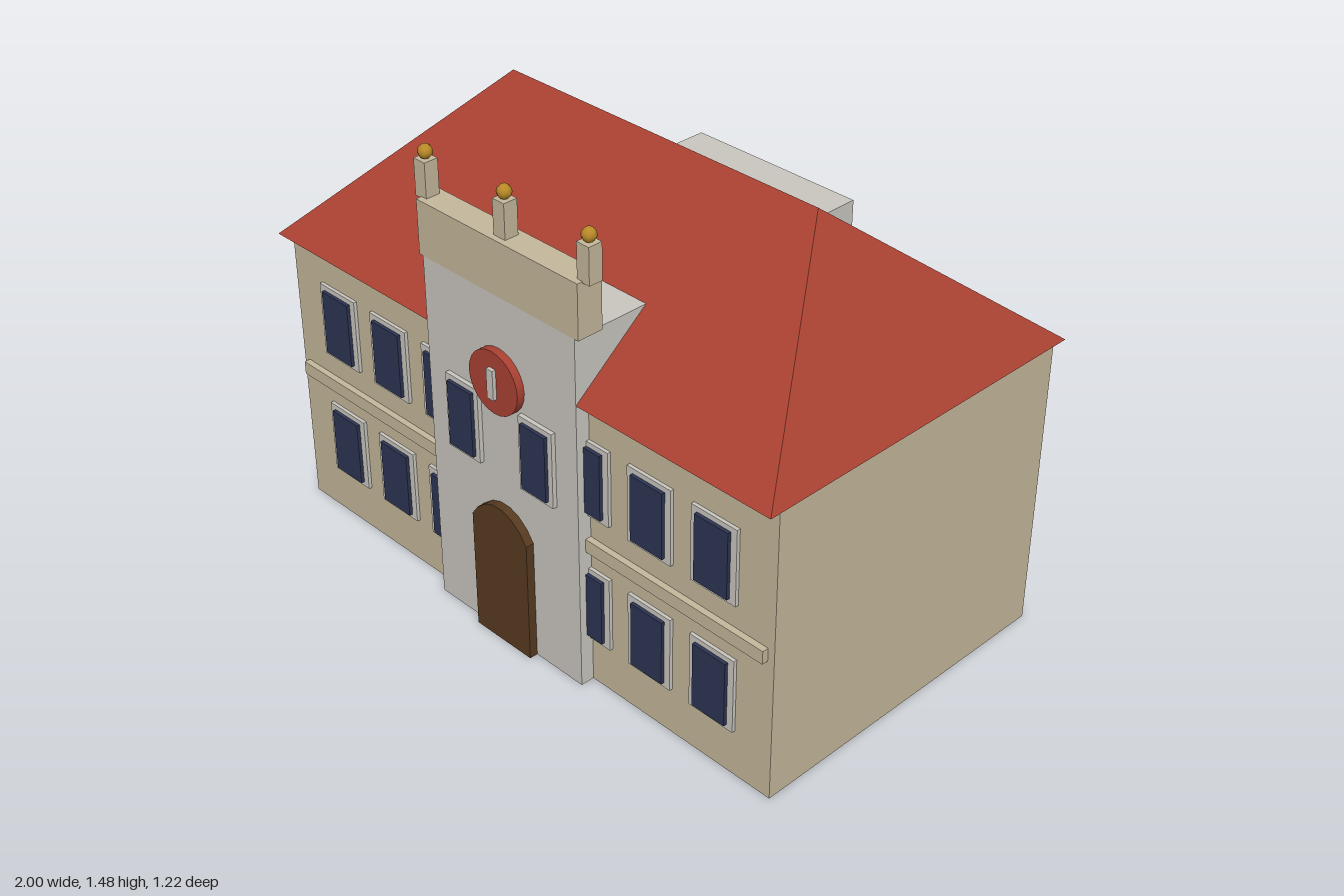
import * as THREE from 'three';

const material = (name, color) => {
  const m = new THREE.MeshStandardMaterial({ color });
  m.name = name;
  return m;
};

export function createModel() {
  const tan = material('sandstone', 0xc4b79b);
  const grey = material('pale plaster', 0xc9c6bf);
  const red = material('red tile', 0xa94132);
  const navy = material('dark glass', 0x2c3453);
  const brown = material('dark wood', 0x573a20);
  const gold = material('gold', 0xb98a28);

  const house = new THREE.Group();
  house.name = 'townHouse';

  const add = (name, geometry, mat, parent = house) => {
    const mesh = new THREE.Mesh(geometry, mat);
    mesh.name = name;
    parent.add(mesh);
    return mesh;
  };
  // Box given by its limits on each axis
  const box = (name, mat, [x0, x1], [y0, y1], [z0, z1], parent) => {
    const mesh = add(name, new THREE.BoxGeometry(x1 - x0, y1 - y0, z1 - z0), mat, parent);
    mesh.position.set((x0 + x1) / 2, (y0 + y1) / 2, (z0 + z1) / 2);
    return mesh;
  };
  const extrude = (points, depth) => new THREE.ExtrudeGeometry(
    new THREE.Shape(points.map(([x, y]) => new THREE.Vector2(x, y))), { depth, bevelEnabled: false });

  // Walls, end strips and the string course
  box('walls', tan, [-0.95, 0.95], [0, 0.95], [-0.57, 0.53]);
  box('leftEndWall', tan, [0.95, 0.99], [0, 0.95], [-0.57, 0.53]);
  box('rightEndWall', tan, [-0.99, -0.95], [0, 0.95], [-0.57, 0.53]);
  box('stringCourse', tan, [-0.967, 0.967], [0.46, 0.503], [0.53, 0.55]);

  // Hipped roof, closed below
  const eave = [[-1, 0.95, 0.575], [1, 0.95, 0.575], [1, 0.95, -0.61], [-1, 0.95, -0.61]];
  const [a, b, c, d] = eave;
  const l = [0.595, 1.425, -0.02], r = [-0.595, 1.425, -0.02];
  const roof = new THREE.BufferGeometry();
  roof.setAttribute('position', new THREE.Float32BufferAttribute([
    a, b, l, a, l, r, // front
    c, d, r, c, r, l, // back
    b, c, l, d, a, r, // hips
    a, d, c, a, c, b, // underside
  ].flat(), 3));
  roof.computeVertexNormals();
  add('roof', roof, red);

  // Central bay running through the roof to a dormer at the back (side profile swept across x)
  const bay = extrude([[-0.575, 0], [-0.53, 0], [-0.53, 0.9], [0.51, 0.9], [0.51, 1.155], [-0.575, 1.155]], 0.61);
  bay.rotateY(Math.PI / 2);
  add('centralBay', bay, grey).position.x = -0.305;

  // Parapet with three posts and ball finials
  box('parapet', tan, [-0.32, 0.32], [1.155, 1.325], [0.49, 0.575]);
  for (const x of [-0.322, 0, 0.322]) {
    box('parapetPost', tan, [x - 0.023, x + 0.023], [1.32, 1.433], [0.51, 0.556]);
    add('finialBall', new THREE.SphereGeometry(0.022, 8, 6), gold).position.set(x, 1.453, 0.533);
  }

  // Windows: frame plate with a raised pane
  const addWindow = (x, y, z, width, paneWidth, frameDepth) => {
    const group = new THREE.Group();
    group.name = 'window';
    house.add(group);
    const front = z + frameDepth;
    box('windowFrame', grey, [x - width / 2, x + width / 2], [y - 0.122, y + 0.122], [z, front], group);
    box('windowPane', navy, [x - paneWidth / 2, x + paneWidth / 2], [y - 0.106, y + 0.106], [front, front + 0.011], group);
  };
  for (const side of [-1, 1]) {
    for (const y of [0.277, 0.702])
      for (const x of [0.306, 0.542, 0.778]) addWindow(side * x, y, 0.53, 0.163, 0.12, 0.011);
    addWindow(side * 0.152, 0.702, 0.575, 0.135, 0.1, 0.014);
  }

  // Arched door
  const arch = [[0.115, 0.4], [0.09, 0.435], [0.055, 0.462], [0.02, 0.475]];
  const mirrored = arch.map(([x, y]) => [-x, y]).reverse();
  add('door', extrude([[-0.115, 0], [0.115, 0], ...arch, ...mirrored], 0.027), brown).position.z = 0.575;

  // Round plaque with a single upright bar
  const disc = new THREE.CylinderGeometry(0.1, 0.1, 0.025, 24);
  disc.rotateX(Math.PI / 2);
  add('plaque', disc, red).position.set(0, 0.893, 0.5875);
  box('plaqueBar', grey, [-0.013, 0.013], [0.845, 0.94], [0.6, 0.612]);

  return house;
}
